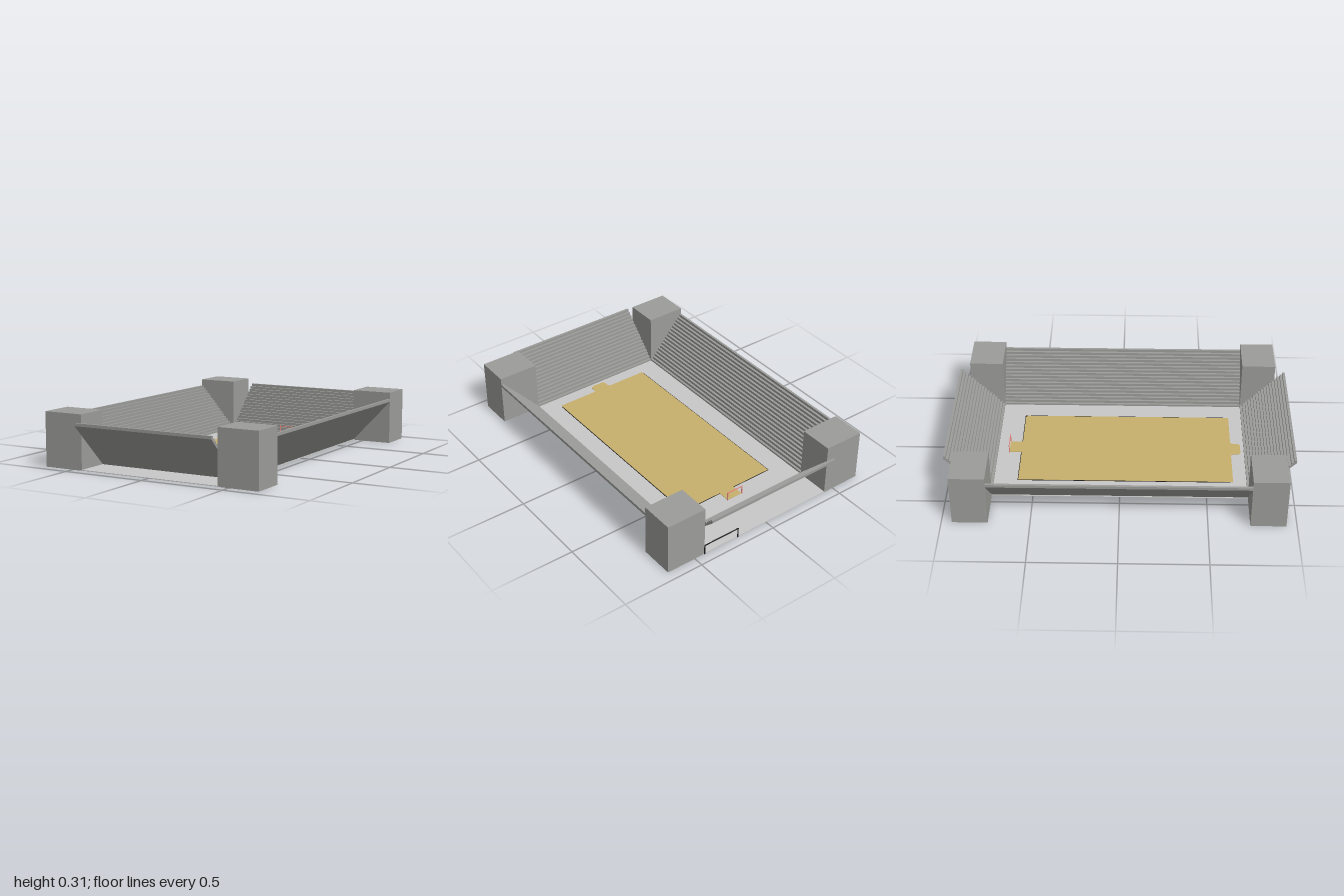
import * as THREE from 'three';

const grey = new THREE.MeshStandardMaterial({ color: 0x9c9c99 });
grey.name = 'concreteGrey';
const pale = new THREE.MeshStandardMaterial({ color: 0xc8c8c8 });
pale.name = 'paleGrey';
const tan = new THREE.MeshStandardMaterial({ color: 0xc8b06c });
tan.name = 'pitchTan';
const dark = new THREE.MeshStandardMaterial({ color: 0x222222 });
dark.name = 'lineBlack';
const pink = new THREE.MeshStandardMaterial({ color: 0xe58a80 });
pink.name = 'goalPink';

const IN_X = 0.435, IN_Z = 0.738, OUT_X = 0.68, BLOCK_Z = 0.94;

export function createModel() {
  const model = new THREE.Group();
  model.name = 'stadium';

  const add = (name, geometry, material, parent = model) => {
    const mesh = new THREE.Mesh(geometry, material);
    mesh.name = name;
    parent.add(mesh);
    return mesh;
  };
  const box = (name, material, w, h, d, x, y, z, parent) =>
    add(name, new THREE.BoxGeometry(w, h, d), material, parent).position.set(x, y, z);

  // Ground slab, running out under the end stands
  box('floor', pale, 2 * IN_X + 0.02, 0.004, 2 * BLOCK_Z, 0, 0.003, 0);

  // Pitch with a goal bay at each end, on a thin dark border
  const pitch = new THREE.Shape();
  [[-0.305, -0.66], [-0.055, -0.66], [-0.045, -0.675], [-0.045, -0.705], [-0.03, -0.718],
    [0.04, -0.718], [0.055, -0.705], [0.055, -0.675], [0.065, -0.66], [0.315, -0.66],
    [0.315, 0.585], [0.3, 0.597], [0.055, 0.597], [0.055, 0.67], [-0.045, 0.67],
    [-0.045, 0.597], [-0.305, 0.597]]
    .forEach(([x, y], i) => (i ? pitch.lineTo(x, y) : pitch.moveTo(x, y)));
  const pitchGeometry = new THREE.ExtrudeGeometry(pitch, { depth: 0.008, bevelEnabled: false });
  pitchGeometry.rotateX(-Math.PI / 2);
  add('pitch', pitchGeometry, tan);
  box('pitchBorder', dark, 0.628, 0.004, 1.245, 0.005, 0.0045, 0.022);

  // Stepped stands with a sloping underside, one on each side
  const stand = (name, start, run, length, turn) => {
    const steps = 17, height = 0.275;
    const profile = new THREE.Shape();
    profile.moveTo(0, 0);
    for (let i = 0; i < steps; i++) {
      const y = ((i + 1) * height) / steps;
      profile.lineTo((i * run) / steps, y);
      profile.lineTo(((i + 1) * run) / steps, y);
    }
    profile.lineTo(run, 0.258);
    const geometry = new THREE.ExtrudeGeometry(profile, { depth: length, bevelEnabled: false });
    geometry.translate(start, 0, -length / 2);
    add(name, geometry, grey).rotation.y = (turn * Math.PI) / 2;
  };
  stand('leftStand', IN_X, OUT_X - IN_X, 2 * IN_Z, 0);
  stand('backStand', IN_Z, 1 - IN_Z, 2 * IN_X, 1);
  stand('rightStand', IN_X, OUT_X - IN_X, 2 * IN_Z, 2);
  stand('frontStand', IN_Z, 1 - IN_Z, 2 * IN_X, 3);

  // Corner towers
  for (const sx of [-1, 1]) {
    for (const sz of [-1, 1]) {
      box('cornerTower', grey, OUT_X - IN_X, 0.315, BLOCK_Z - IN_Z,
        (sx * (OUT_X + IN_X)) / 2, 0.1575, (sz * (BLOCK_Z + IN_Z)) / 2);
    }
  }

  // Goal frames: one on the pitch, one behind the back stand
  const goal = (name, material, x0, x1, z, height) => {
    const frame = new THREE.Group();
    frame.name = name;
    model.add(frame);
    const t = 0.005;
    for (const x of [x0, x1]) box('post', material, t, height, t, x, height / 2, z, frame);
    box('crossbar', material, x1 - x0 + t, t, t, (x0 + x1) / 2, height - t / 2, z, frame);
  };
  goal('pitchGoal', pink, -0.047, 0.057, -0.67, 0.06);
  goal('outerGoal', dark, 0.205, 0.435, -0.943, 0.065);

  return model;
}
